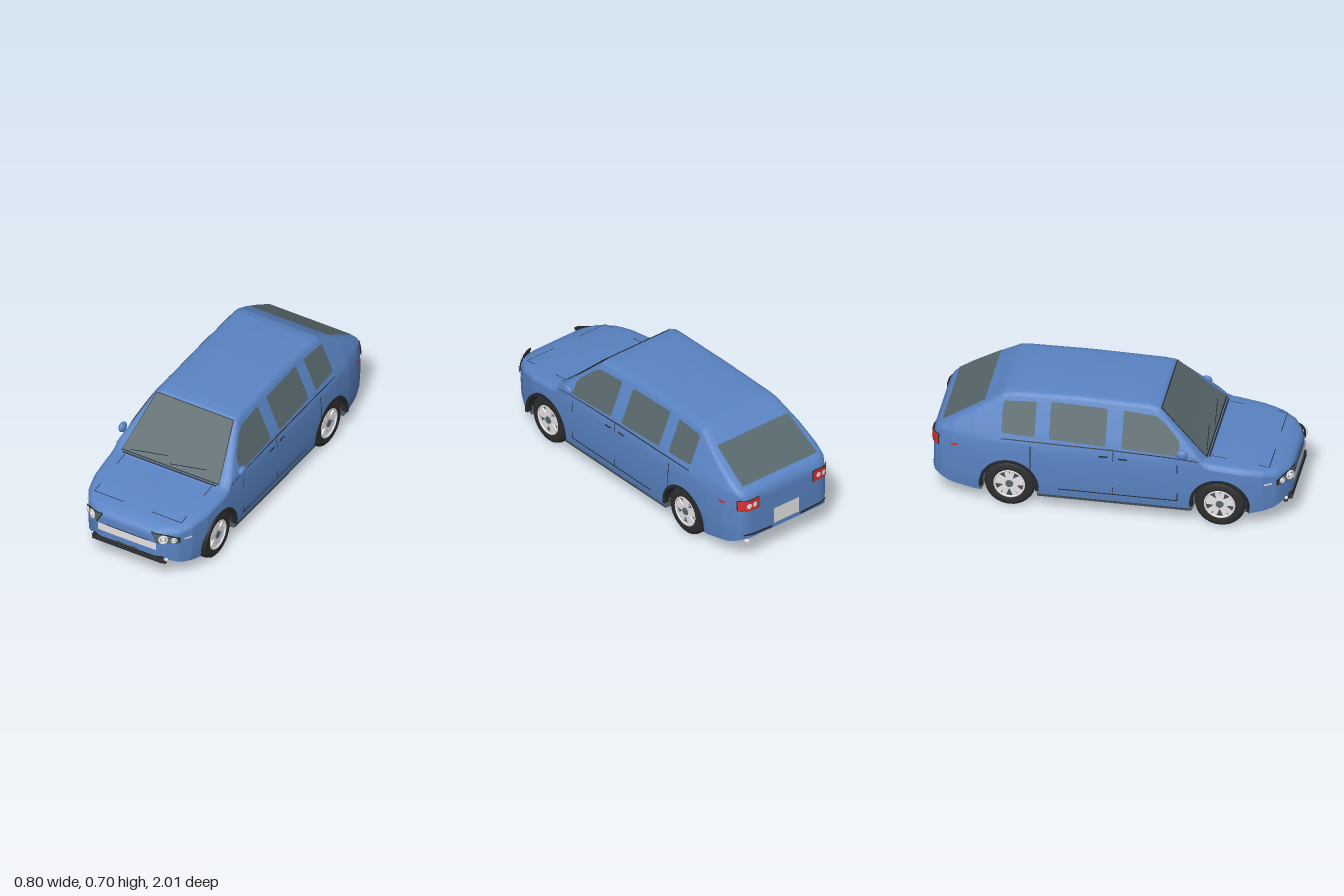
import * as THREE from 'three';

const mat = (name, color, side = THREE.DoubleSide) => {
  const m = new THREE.MeshStandardMaterial({ color, side });
  m.name = name;
  return m;
};
const blue = mat('blue paint', 0x5a84c4);
const glass = mat('smoked glass', 0x58686c);
const dark = mat('dark trim', 0x26292b);
const under = mat('underbody', 0x465156);
const rubber = mat('rubber', 0x2e2e2e, THREE.FrontSide);
const silver = mat('silver', 0xe6e4e6);
const red = mat('red lens', 0xd93030);

// Piecewise linear lookup in a list of [position, value]
const lookup = (t, p) => {
  let i = 0;
  while (i < t.length - 2 && p > t[i + 1][0]) i++;
  const k = THREE.MathUtils.clamp((p - t[i][0]) / (t[i + 1][0] - t[i][0]), 0, 1);
  return t[i][1] + (t[i + 1][1] - t[i][1]) * k;
};

// Body shape along z: roofline, sill, half width; and side bulge by height
const ROOF = [[-0.99, 0.405], [-0.97, 0.44], [-0.6, 0.672], [-0.55, 0.682], [-0.2, 0.691], [0.2, 0.683],
  [0.26, 0.675], [0.53, 0.415], [0.56, 0.403], [0.8, 0.375], [0.93, 0.35], [0.97, 0.335], [0.99, 0.315]];
const SILL = [[-0.99, 0.15], [-0.9, 0.112], [-0.75, 0.09], [0.75, 0.09], [0.9, 0.12], [0.99, 0.165]];
const WIDTH = [[-0.99, 0.26], [-0.98, 0.29], [-0.94, 0.32], [-0.87, 0.345], [-0.75, 0.365], [-0.6, 0.373],
  [0.6, 0.373], [0.74, 0.363], [0.85, 0.335], [0.925, 0.29], [0.97, 0.225], [0.99, 0.18]];
const BULGE = [[0.09, 0.96], [0.15, 0.985], [0.22, 0.998], [0.3, 1], [0.38, 0.992], [0.43, 0.975]];
const CROWN = [[-0.6, 0], [-0.45, 0.006], [0.1, 0.006], [0.26, 0], [0.56, 0], [0.7, 0.006], [0.9, 0.006], [0.99, 0]];
const WHEELS = [0.615, -0.555], ARCH = 0.161, AXLE = 0.142;

const roof = z => lookup(ROOF, z);
const sideX = (y, z) => lookup(WIDTH, z) * lookup(BULGE, Math.min(y, 0.43)) - Math.max(0, y - 0.43) * 0.44;
const lowerEdge = z => WHEELS.reduce((y, c) => Math.abs(z - c) < ARCH
  ? Math.max(y, AXLE + Math.sqrt(ARCH ** 2 - (z - c) ** 2)) : y, lookup(SILL, z));

// Nose or tail surface: z where the side reaches x at height y
const endZ = (x, y, s) => {
  let a = 0.6, b = 0.99;
  for (let i = 0; i < 20; i++) {
    const m = (a + b) / 2;
    if (sideX(y, s * m) >= Math.abs(x)) a = m; else b = m;
  }
  return s * a;
};

// Half section from the sill up to the centre line, then mirrored
function section(z) {
  const lo = lowerEdge(z), top = roof(z), belt = Math.min(0.43, top - 0.04), hi = top - 0.03;
  const half = [];
  for (let i = 0; i <= 6; i++) { const y = lo + (belt - lo) * i / 6; half.push([sideX(y, z), y]); }
  for (let i = 1; i <= 3; i++) { const y = belt + (hi - belt) * i / 3; half.push([sideX(y, z), y]); }
  const x = sideX(hi, z), c = lookup(CROWN, z);
  half.push([x - 0.01, top - 0.013], [x - 0.03, top - 0.004], [x - 0.07, top], [x * 0.35, top + c * 0.9]);
  return [...half, [0, top + c], ...half.slice().reverse().map(([px, py]) => [-px, py])];
}

// End face ring: the last section shrunk towards its lower middle
const endRing = (s, k, z) => {
  const base = lookup(SILL, s * 0.99);
  return section(s * 0.99).map(([x, y]) => [x * k, base + (y - base) * k, s * z]);
};

// Surface from rows of points
function surface(rows) {
  const n = rows[0].length, idx = [];
  for (let i = 0; i < rows.length - 1; i++) for (let j = 0; j < n - 1; j++) {
    const a = i * n + j, c = a + n;
    idx.push(a, a + 1, c, a + 1, c + 1, c);
  }
  const g = new THREE.BufferGeometry();
  g.setAttribute('position', new THREE.Float32BufferAttribute(rows.flat(2), 3));
  g.setIndex(idx);
  g.computeVertexNormals();
  return g;
}

// Thin panel from columns [u, v0, v1], laid on the body by rule fn(u, v)
function panel(cols, fn) {
  const rows = [];
  for (let i = 0; i < cols.length - 1; i++) for (let k = i ? 1 : 0; k <= 4; k++) {
    const [u, a, b] = cols[i].map((v, q) => v + (cols[i + 1][q] - v) * k / 4);
    rows.push([0, 0.25, 0.5, 0.75, 1].map(t => fn(u, a + (b - a) * t)));
  }
  return surface(rows);
}

export function createModel() {
  const car = new THREE.Group();
  car.name = 'car';
  const add = (name, geo, m, x = 0, y = 0, z = 0, parent = car) => {
    const mesh = new THREE.Mesh(geo, m);
    mesh.name = name;
    mesh.position.set(x, y, z);
    parent.add(mesh);
    return mesh;
  };

  // Body shell with rounded end faces, and floor
  const zs = Array.from({ length: 199 }, (_, i) => -0.99 + i * 0.01);
  add('bodyShell', surface([endRing(-1, 0, 0.992), endRing(-1, 0.88, 0.992),
    ...zs.map(z => section(z).map(([x, y]) => [x, y, z])),
    endRing(1, 0.88, 0.992), endRing(1, 0, 0.992)]), blue);
  add('floor', surface(zs.map(z => {
    const y = lookup(SILL, z), x = WHEELS.some(c => Math.abs(z - c) < 0.15) ? 0.25 : sideX(y, z);
    return [[-x, y, z], [x, y, z]];
  })), under);

  // Windscreen and rear window, with wipers
  const onTop = lift => (z, x) => [x, roof(z) + lift, z];
  add('windscreenSeal', panel([[0.272, -0.248, 0.248], [0.54, -0.313, 0.313]], onTop(0.004)), dark);
  add('windscreen', panel([[0.278, -0.243, 0.243], [0.534, -0.308, 0.308]], onTop(0.008)), glass);
  add('rearWindow', panel([[-0.942, -0.266, 0.266], [-0.708, -0.252, 0.252]], onTop(0.008)), glass);
  for (const x0 of [-0.26, -0.01]) {
    const path = new THREE.LineCurve3(new THREE.Vector3(x0, 0.43, 0.528), new THREE.Vector3(x0 + 0.22, 0.457, 0.502));
    add('wiper', new THREE.TubeGeometry(path, 1, 0.002, 5), dark);
  }

  // Bonnet seams
  add('bonnetRearSeam', panel([[0.545, -0.3, 0.3], [0.553, -0.3, 0.3]], onTop(0.005)), dark);
  for (const s of [1, -1]) {
    for (const [a, b] of [[0.56, 0.64], [0.82, 0.88]])
      add('bonnetSideSeam', panel([[a, s * 0.276, s * 0.28], [b, s * 0.276, s * 0.28]], onTop(0.005)), dark);
    add('bonnetFrontSeam', panel([[0.877, s * 0.09, s * 0.28], [0.881, s * 0.09, s * 0.28]], onTop(0.008)), dark);
  }

  // Nose and tail panels follow the rounded plan
  const onEnd = (s, lift) => (x, y) => [x * 1.012, y, endZ(x, y, s) + s * lift];
  add('frontPlate', panel([[-0.184, 0.219, 0.265], [0.184, 0.219, 0.265]], onEnd(1, 0.007)), silver);
  add('frontPlateSeam', panel([[-0.2, 0.264, 0.269], [0.2, 0.264, 0.269]], onEnd(1, 0.005)), dark);
  add('upperIntake', panel([[-0.09, 0.172, 0.176], [-0.05, 0.172, 0.188], [0, 0.172, 0.181], [0.05, 0.172, 0.188],
    [0.09, 0.172, 0.176]], onEnd(1, 0.005)), under);
  for (const y of [0.145, 0.158, 0.171]) add('grilleBar', new THREE.BoxGeometry(0.445, 0.007, 0.022), dark, 0, y, 0.985);
  add('grilleBack', new THREE.BoxGeometry(0.445, 0.03, 0.006), glass, 0, 0.158, 0.988);
  add('lowerGrilleBar', new THREE.BoxGeometry(0.46, 0.005, 0.02), dark, 0, 0.125, 0.96);
  add('rearPlate', panel([[-0.088, 0.18, 0.275], [0.088, 0.18, 0.275]], onEnd(-1, 0.007)), silver);
  for (const s of [1, -1]) {
    add('fogLamp', new THREE.SphereGeometry(0.01, 10, 8), silver, s * 0.235, 0.152, 0.965);
    const lampShape = [[0.155, 0.325, 0.34], [0.185, 0.272, 0.335], [0.24, 0.266, 0.326], [0.295, 0.266, 0.302]];
    add('headlampFrame', panel(lampShape.map(([x, a, b]) => [s * x, a, b]), onEnd(1, 0.006)), dark);
    add('headlamp', panel(lampShape.map(([x, a, b]) => [s * (0.225 + (x - 0.225) * 0.92), a + 0.004, b - 0.004]), onEnd(1, 0.01)), glass);
    for (const [x, y, r, yaw] of [[0.225, 0.299, 0.03, 0.65], [0.273, 0.291, 0.019, 0.8]]) {
      const lamp = new THREE.Group();
      lamp.name = 'lampUnit';
      lamp.position.set(s * x, y, endZ(x, y, 1) + 0.013);
      lamp.rotation.y = s * yaw;
      car.add(lamp);
      add('lampRing', new THREE.TorusGeometry(r * 0.76, r * 0.24, 6, 8), silver, 0, 0, 0.003, lamp);
      add('lampBulb', new THREE.SphereGeometry(r * 0.42, 8, 6), silver, 0, 0, 0.003, lamp);
    }
    add('tailLampFrame', panel([[s * 0.186, 0.327, 0.403], [s * 0.313, 0.331, 0.399]], onEnd(-1, 0.005)), dark);
    add('tailLamp', panel([[s * 0.189, 0.33, 0.4], [s * 0.311, 0.334, 0.396]], onEnd(-1, 0.009)), red);
    for (const x of [0.21, 0.248])
      add('reverseLamp', panel([[s * x, 0.358, 0.374], [s * (x + 0.008), 0.35, 0.382], [s * (x + 0.02), 0.35, 0.382],
        [s * (x + 0.028), 0.358, 0.374]], onEnd(-1, 0.012)), silver);
    add('rearBumperSlot', panel([[s * 0.1, 0.158, 0.172], [s * 0.29, 0.17, 0.18]], onEnd(-1, 0.006)), dark);
  }

  // Side details as columns [z, y0, y1]
  const windows = [
    [[0.39, 0.44, 0.505], [0.37, 0.437, 0.535], [0.29, 0.44, 0.61], [0.25, 0.441, 0.632], [0.08, 0.449, 0.643], [0.07, 0.455, 0.637]],
    [[-0.02, 0.458, 0.638], [-0.028, 0.45, 0.645], [-0.325, 0.46, 0.652], [-0.335, 0.467, 0.645]],
    [[-0.415, 0.47, 0.638], [-0.423, 0.463, 0.645], [-0.59, 0.47, 0.635], [-0.6, 0.478, 0.625]],
  ];
  const seams = [
    [0.385, 0.38, 0.33, 0.385], [0.385, 0.38, 0.15, 0.2], [0.385, -0.28, 0.149, 0.155],
    [0.027, 0.022, 0.37, 0.425], [0.027, 0.022, 0.15, 0.2], [-0.433, -0.438, 0.25, 0.41],
    [0.105, 0.055, 0.381, 0.39], [-0.005, -0.055, 0.386, 0.395],
  ];
  for (const s of [1, -1]) {
    const onSide = lift => (z, y) => [s * (sideX(y, z) + lift), y, z];
    for (const w of windows) add('sideWindow', panel(w, onSide(0.006)), glass);
    for (const [z0, z1, a, b] of seams) add('doorSeam', panel([[z0, a, b], [z1, a, b]], onSide(0.004)), dark);
    add('beltLine', panel([[0.5, 0.412, 0.416], [0.3, 0.424, 0.429], [0, 0.431, 0.437], [-0.6, 0.436, 0.441]], onSide(0.004)), dark);
    add('sillStrip', panel([[0.455, 0.088, 0.104], [-0.4, 0.088, 0.104]], onSide(0.003)), under);
    add('frontMarker', panel([[0.9, 0.28, 0.29], [0.86, 0.28, 0.29]], onSide(0.007)), silver);
    add('rearMarker', panel([[-0.84, 0.358, 0.372], [-0.88, 0.358, 0.372]], onSide(0.006)), red);

    // Door mirror
    const mirror = add('mirror', new THREE.SphereGeometry(1, 20, 14), blue, s * 0.382, 0.459, 0.41);
    mirror.scale.set(0.019, 0.029, 0.034);
    const arm = new THREE.LineCurve3(new THREE.Vector3(s * 0.34, 0.44, 0.4), new THREE.Vector3(s * 0.38, 0.432, 0.41));
    add('mirrorArm', new THREE.TubeGeometry(arm, 1, 0.008, 8), blue);
  }

  // Wheels with wells and arch lips
  const tyre = new THREE.LatheGeometry([[0.085, 0.04], [0.09, 0.047], [0.12, 0.047], [0.136, 0.036], [0.142, 0.018],
    [0.142, -0.018], [0.136, -0.036], [0.12, -0.047], [0.09, -0.047], [0.085, -0.04]]
    .map(([r, y]) => new THREE.Vector2(r, -y)), 32);
  const lip = new THREE.Shape();
  lip.absarc(0, 0, 0.166, -0.1, Math.PI + 0.1, false);
  lip.absarc(0, 0, 0.149, Math.PI + 0.1, -0.1, true);
  const lipGeo = new THREE.ExtrudeGeometry(lip, { depth: 0.035, bevelEnabled: false, curveSegments: 24 });
  for (const z of WHEELS) for (const s of [1, -1]) {
    const corner = new THREE.Group();
    corner.name = 'wheelCorner';
    corner.position.set(0, AXLE, z);
    corner.rotation.y = s * Math.PI / 2;
    car.add(corner);
    add('archLip', lipGeo, dark, 0, 0, 0.342, corner);
    const well = add('wheelWell', new THREE.CylinderGeometry(ARCH, ARCH, 0.115, 24, 1, true, Math.PI / 2, Math.PI), dark, 0, 0, 0.307, corner);
    well.rotation.x = Math.PI / 2;
    add('wellWall', new THREE.CircleGeometry(ARCH, 24, 0, Math.PI), dark, 0, 0, 0.25, corner);
    add('tyre', tyre, rubber, 0, 0, 0.308, corner).rotation.x = Math.PI / 2;
    add('rimBack', new THREE.CircleGeometry(0.087, 28), under, 0, 0, 0.33, corner);
    add('innerDisc', new THREE.CircleGeometry(0.087, 28), dark, 0, 0, 0.272, corner);
    add('rimRing', new THREE.TorusGeometry(0.083, 0.006, 8, 32), silver, 0, 0, 0.35, corner);
    for (let i = 0; i < 5; i++) for (const k of [-0.22, 0.22]) {
      const a = i * Math.PI * 0.4 + Math.PI / 2 + k;
      const spoke = add('spoke', new THREE.BoxGeometry(0.068, 0.024, 0.012), silver, Math.cos(a) * 0.05, Math.sin(a) * 0.05, 0.343, corner);
      spoke.rotation.z = a;
    }
    add('hub', new THREE.CylinderGeometry(0.021, 0.023, 0.014, 16), glass, 0, 0, 0.348, corner).rotation.x = Math.PI / 2;
  }

  // Exhaust
  add('exhaust', new THREE.CylinderGeometry(0.012, 0.012, 0.11, 14), silver, 0.24, 0.102, -0.91).rotation.x = Math.PI / 2;
  return car;
}
